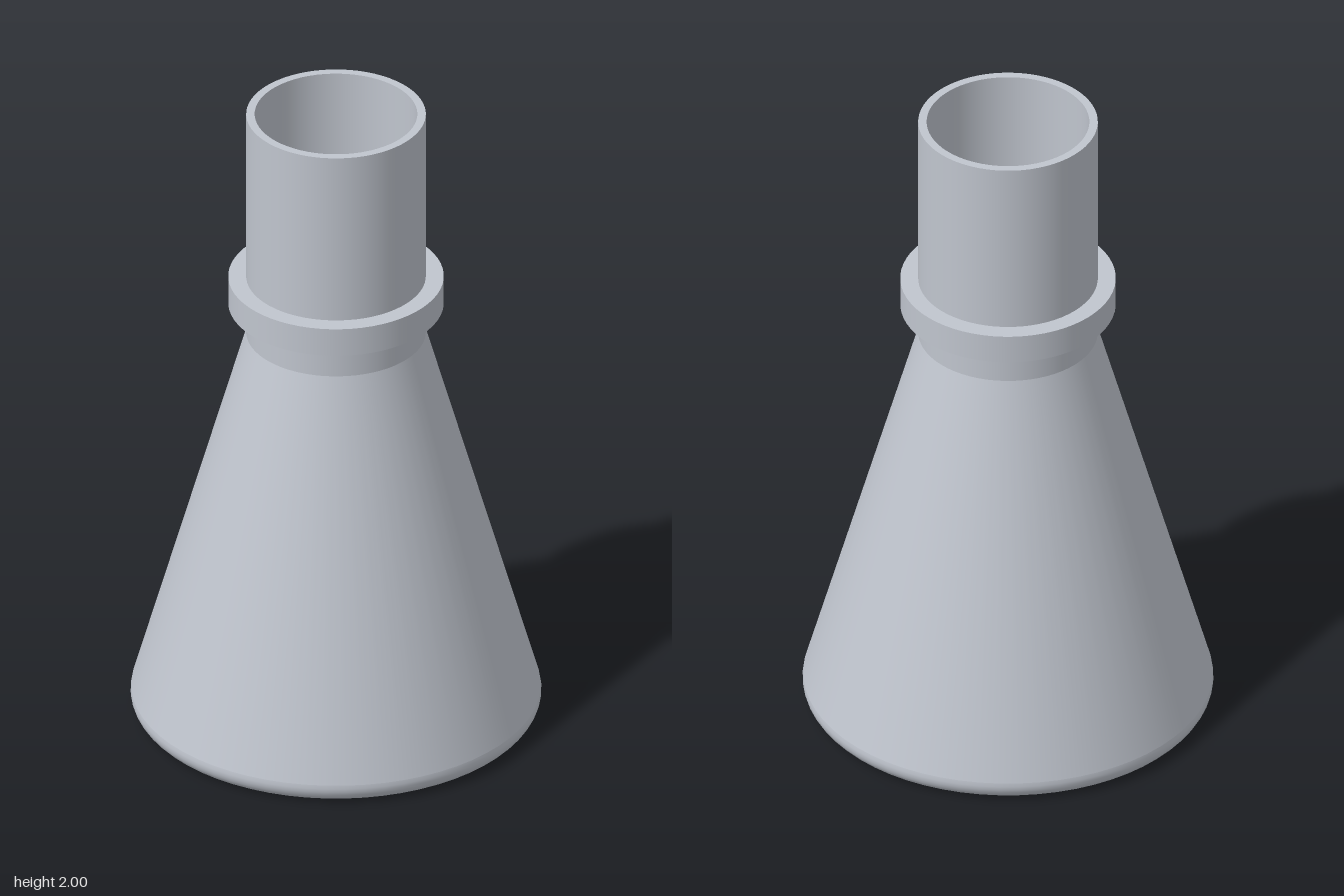
import * as THREE from 'three';

const SIDES = 64;

export function createModel() {
  const flask = new THREE.Group();
  flask.name = 'conicalFlask';
  const greyGlass = new THREE.MeshStandardMaterial({ color: 0xc0c5ce });
  greyGlass.name = 'greyGlass';

  // Each smooth section is its own lathe, so edges between sections stay crisp
  const lathe = (name, points, parent = flask) => {
    const profile = points.map(([r, y]) => new THREE.Vector2(r, y));
    const mesh = new THREE.Mesh(new THREE.LatheGeometry(profile, SIDES), greyGlass);
    mesh.name = name;
    parent.add(mesh);
  };

  // Rounded foot running from the flat base into the cone's slope
  const foot = [];
  const r = 0.05, lean = Math.atan2(0.34, 1.2);
  for (let i = 0; i <= 8; i++) {
    const a = -Math.PI / 2 + (Math.PI / 2 + lean) * i / 8;
    foot.push([0.556 + r * Math.cos(a), r + r * Math.sin(a)]);
  }
  lathe('base', [[0, 0], foot[0]]);
  lathe('roundedFoot', foot);
  lathe('cone', [foot[8], [0.265, 1.26]]);

  // Neck with open rim
  lathe('neck', [[0.265, 1.26], [0.265, 2]]);
  lathe('rim', [[0.265, 2], [0.24, 2]]);

  // Hollow inside
  lathe('innerNeck', [[0.24, 2], [0.24, 1.26]]);
  lathe('innerCone', [[0.24, 1.26], [0.57, 0.03]]);
  lathe('innerFloor', [[0.57, 0.03], [0, 0.03]]);

  // Collar around the neck
  const collar = new THREE.Group();
  collar.name = 'collar';
  flask.add(collar);
  lathe('collarUnderside', [[0.265, 1.36], [0.318, 1.36]], collar);
  lathe('collarWall', [[0.318, 1.36], [0.318, 1.45]], collar);
  lathe('collarTop', [[0.318, 1.45], [0.265, 1.45]], collar);

  return flask;
}
